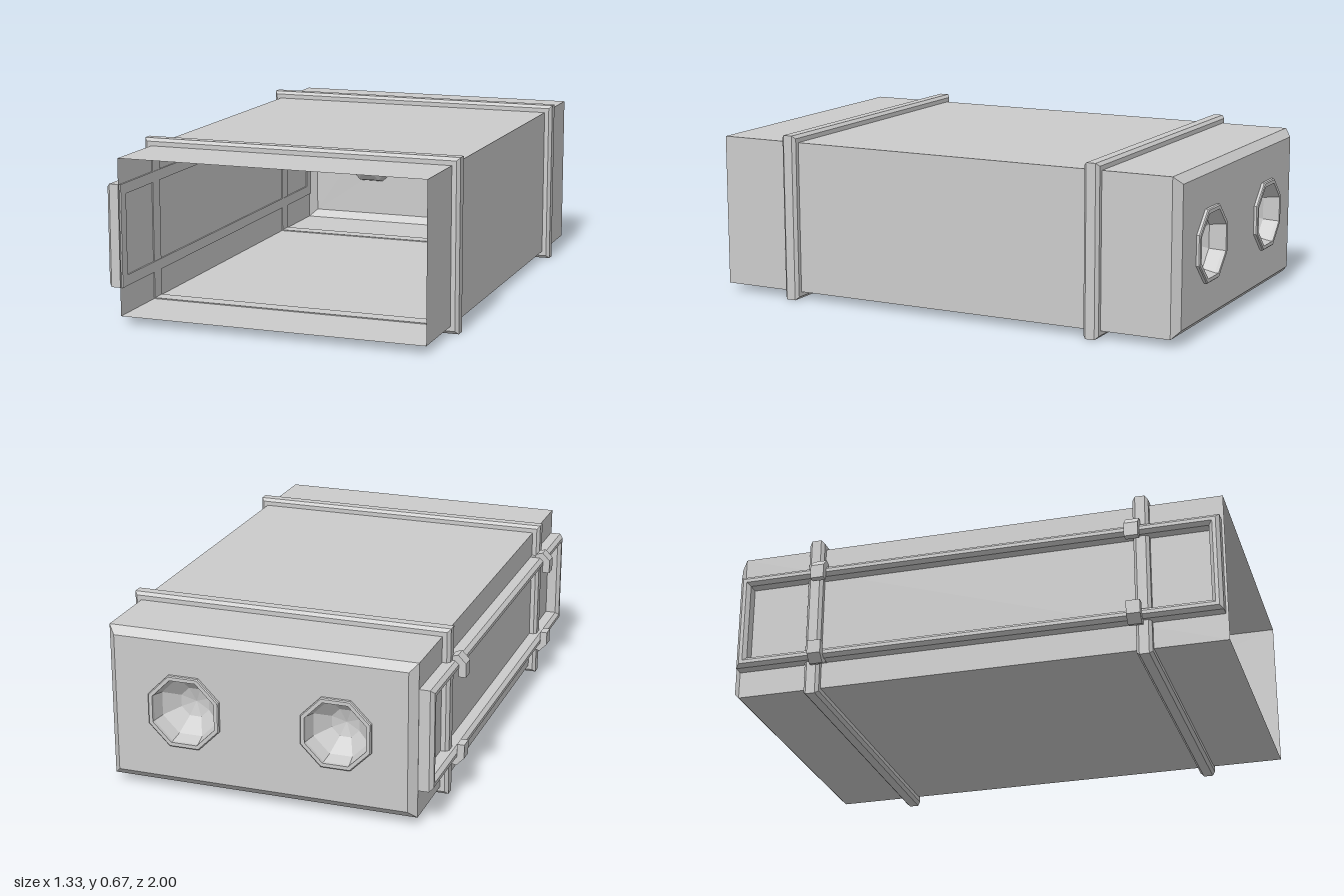
import * as THREE from 'three';

const material = new THREE.MeshStandardMaterial({ color: 0xcccccc, flatShading: true, side: THREE.DoubleSide });
const CX = 0.028, CY = 0.335; // middle of the case
const HW = 0.61, HH = 0.305;  // half width and height of the case
const FRONT = 1, BACK = -0.985, BEVEL = 0.03;

// Skin through rectangles [halfWidth, halfHeight, z]; outward when z falls
function loftRects(rects, closed = false) {
  const corners = ([w, h, z]) => [[w, -h, z], [w, h, z], [-w, h, z], [-w, -h, z]];
  const rings = rects.map(corners);
  const pos = [];
  const count = closed ? rings.length : rings.length - 1;
  for (let r = 0; r < count; r++) {
    const a = rings[r], b = rings[(r + 1) % rings.length];
    for (let i = 0; i < 4; i++) {
      const j = (i + 1) % 4;
      pos.push(...a[i], ...b[i], ...a[j], ...a[j], ...b[i], ...b[j]);
    }
  }
  const geo = new THREE.BufferGeometry();
  geo.setAttribute('position', new THREE.Float32BufferAttribute(pos, 3));
  geo.computeVertexNormals();
  return geo;
}

function addMesh(parent, name, geo, x = 0, y = 0, z = 0) {
  const mesh = new THREE.Mesh(geo, material);
  mesh.name = name;
  mesh.position.set(x, y, z);
  parent.add(mesh);
  return mesh;
}

// Octagon with flat sides on the axes, given its flat radius
function octagon(flat, x) {
  const r = flat / Math.cos(Math.PI / 8);
  return Array.from({ length: 8 }, (_, i) => {
    const a = Math.PI / 8 + i * Math.PI / 4;
    return new THREE.Vector2(x + r * Math.cos(a), r * Math.sin(a));
  });
}

// Eight-sided turned part, axis along z, profile in [flat radius, z]
function turned(profile) {
  const k = 1 / Math.cos(Math.PI / 8);
  const geo = new THREE.LatheGeometry(profile.map(([r, z]) => new THREE.Vector2(r * k, z)), 8, Math.PI / 8);
  return geo.rotateX(Math.PI / 2);
}

export function createModel() {
  const model = new THREE.Group();
  model.name = 'openCase';

  // Thin-walled sleeve, open at the front, bevelled into the back wall
  addMesh(model, 'sleeve', loftRects([
    [HW, HH, FRONT], [HW, HH, BACK + BEVEL], [HW - BEVEL, HH - BEVEL, BACK],
  ]), CX, CY, 0);

  // Back wall with two octagonal openings
  const sockets = [{ x: -0.277, flat: 0.138 }, { x: 0.328, flat: 0.143 }];
  const w = HW - BEVEL, h = HH - BEVEL;
  const wall = new THREE.Shape([[-w, -h], [w, -h], [w, h], [-w, h]].map(([x, y]) => new THREE.Vector2(x + CX, y)));
  for (const s of sockets) wall.holes.push(new THREE.Path(octagon(s.flat - 0.018, s.x).reverse()));
  addMesh(model, 'backWall', new THREE.ShapeGeometry(wall).rotateY(Math.PI)
    .scale(-1, 1, 1).translate(0, 0, 0), 0, CY, BACK);

  // Raised rims and faceted bowls sunk into the case
  for (const s of sockets) {
    const r = s.flat - 0.018;
    addMesh(model, 'socketRim', turned([
      [r, 0], [r, -0.015], [s.flat - 0.004, -0.015], [s.flat, -0.011], [s.flat, 0],
    ]), s.x, CY, BACK);
    addMesh(model, 'socketBowl', turned([
      [r, 0], [r * 0.9, 0.05], [r * 0.45, 0.1], [0, 0.115],
    ]), s.x, CY, BACK);
  }

  // Chamfered straps around the case
  const t = 0.03, hz = 0.031, c = 0.012, inset = -0.004;
  const strap = loftRects([
    [inset, hz], [t - c, hz], [t, hz - c], [t, c - hz], [t - c, -hz], [inset, -hz],
  ].map(([o, z]) => [HW + o, HH + o, z]), true);
  for (const z of [0.682, -0.643]) addMesh(model, 'strap', strap, CX, CY, z);

  // Long rectangular rail frame on the right side
  const fw = 0.972, fh = 0.2, rail = 0.042, e = 0.014;
  const frame = addMesh(model, 'sideRailFrame', loftRects([
    [e, 0.062], [0, 0.062 - e], [0, 0], [rail, 0], [rail, 0.062 - e], [rail - e, 0.062],
  ].map(([o, z]) => [fw - o, fh - o, z]), true), -0.576, 0.338, 0.018);
  frame.rotation.y = -Math.PI / 2;

  // Hooks holding the rails, mirrored above and below
  const hookShape = new THREE.Shape([
    [-0.58, 0.202], [-0.6, 0.202], [-0.61, 0.217], [-0.635, 0.224], [-0.666, 0.192], [-0.666, 0.137],
    [-0.637, 0.137], [-0.637, 0.174], [-0.616, 0.196], [-0.58, 0.196],
  ].map(([x, y]) => new THREE.Vector2(x, y)));
  const depth = 0.054;
  for (const z of [0.655, -0.615]) {
    for (const side of [1, -1]) {
      const hook = new THREE.ExtrudeGeometry(hookShape, { depth, bevelEnabled: false });
      hook.translate(0, 0, -depth / 2);
      const mesh = addMesh(model, side > 0 ? 'upperHook' : 'lowerHook', hook, 0, 0.338, z);
      mesh.scale.y = side;
    }
  }
  return model;
}
